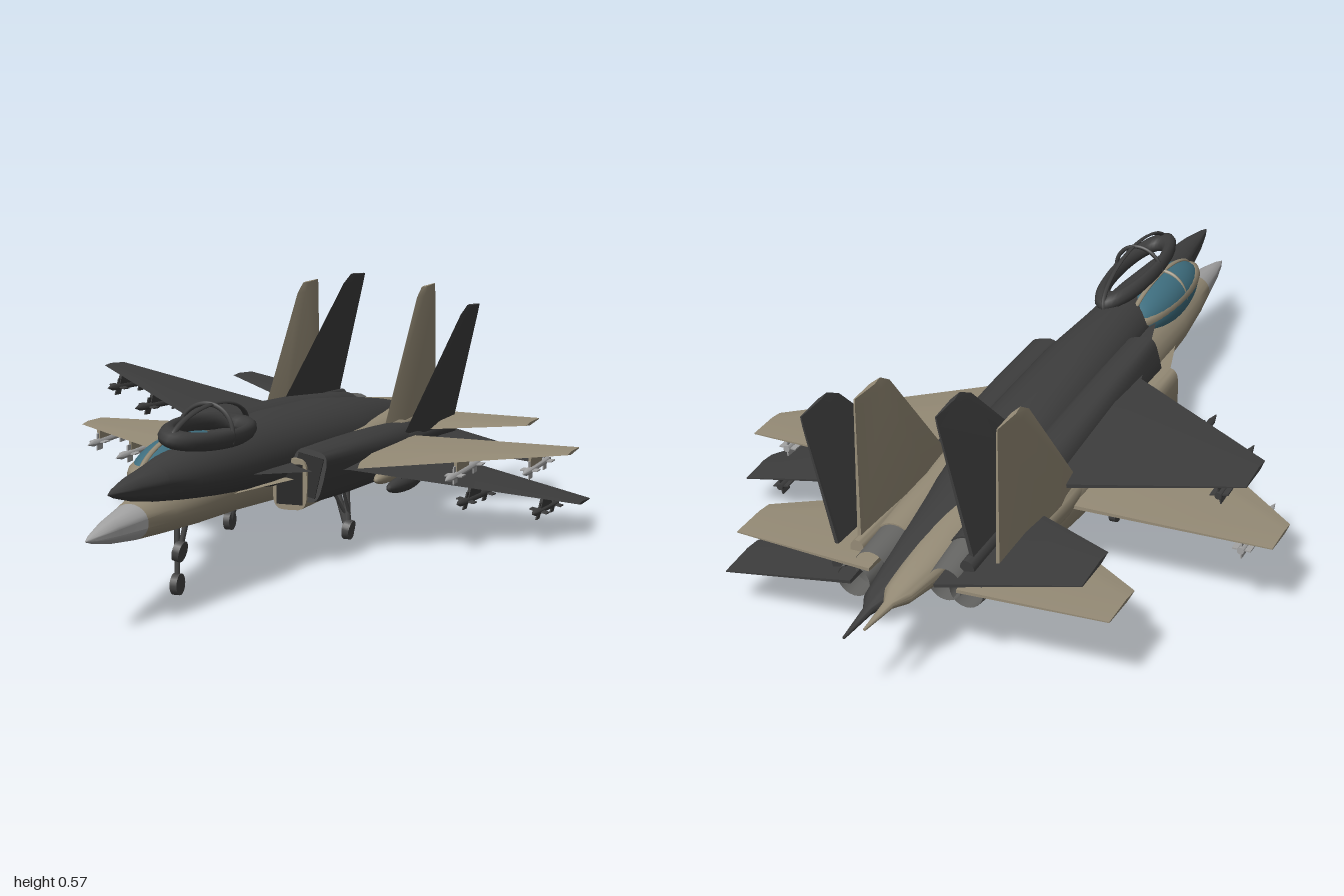
import * as THREE from 'three';
import { toCreasedNormals } from 'three/addons/utils/BufferGeometryUtils.js';

const mat = (name, color, side = THREE.FrontSide) => {
  const m = new THREE.MeshStandardMaterial({ color, side });
  m.name = name;
  return m;
};

// Skin a list of equal-length point rings and close both ends.
function loft(rings, crease = 0.6) {
  const n = rings[0].length, pos = [], idx = [];
  rings.forEach(r => r.forEach(p => pos.push(...p)));
  for (let i = 0; i < rings.length - 1; i++) {
    for (let j = 0; j < n; j++) {
      const a = i * n + j, d = i * n + (j + 1) % n;
      idx.push(a, a + n, d, d, a + n, d + n);
    }
  }
  const last = (rings.length - 1) * n;
  for (let j = 1; j < n - 1; j++) {
    idx.push(0, j, j + 1, last, last + j + 1, last + j);
  }
  const g = new THREE.BufferGeometry();
  g.setAttribute('position', new THREE.Float32BufferAttribute(pos, 3));
  g.setIndex(idx);
  return toCreasedNormals(g, crease);
}

// Body from stations [z, centreX, centreY, halfWidth, up, down, squareness], nose first.
function body(stations) {
  return loft(stations.map(([z, cx, cy, w, up, dn, sq = 1]) =>
    Array.from({ length: 24 }, (_, j) => {
      const a = j / 24 * Math.PI * 2, c = Math.cos(a), s = Math.sin(a);
      const x = Math.sign(c) * Math.abs(c) ** sq, y = Math.sign(s) * Math.abs(s) ** sq;
      return [cx + w * x, cy + (y > 0 ? up : dn) * y, z];
    })));
}

// Thin aerofoil surface from sections [x, leadingZ, trailingZ, halfThickness].
const panel = sections => loft(sections.map(([x, le, te, t]) => {
  const m = le + (te - le) * 0.3;
  return [[x, 0, le], [x, t, m], [x, t * 0.3, te], [x, -t * 0.3, te], [x, -t, m]];
}), 0.3);

// Mirror a geometry across x = 0, keeping its faces outward.
function mirrored(geo) {
  const g = geo.index ? geo.toNonIndexed() : geo.clone();
  g.scale(-1, 1, 1);
  for (const key of ['position', 'normal']) {
    const a = g.attributes[key].array;
    for (let i = 0; i < a.length; i += 9) {
      for (let k = 3; k < 6; k++) [a[i + k], a[i + k + 3]] = [a[i + k + 3], a[i + k]];
    }
  }
  return g;
}

// Round bar between two points.
function bar(a, b, r) {
  const p = new THREE.Vector3(...a), q = new THREE.Vector3(...b);
  const d = q.clone().sub(p);
  const g = new THREE.CylinderGeometry(r, r, d.length(), 10);
  g.applyQuaternion(new THREE.Quaternion().setFromUnitVectors(new THREE.Vector3(0, 1, 0), d.normalize()));
  return g.translate(...p.add(q).multiplyScalar(0.5).toArray());
}

function buildJet(name, c) {
  const jet = new THREE.Group();
  jet.name = name;
  const add = (part, geo, material) => {
    const m = new THREE.Mesh(geo, material);
    m.name = part;
    jet.add(m);
  };
  const pair = (part, geo, material) => {
    add(part + 'Left', geo, material);
    add(part + 'Right', mirrored(geo), material);
  };

  // Fuselage, nose cone and tail boom
  add('noseCone', body([
    [1, 0, 0, 0.001, 0.001, 0.001], [0.97, 0, 0, 0.011, 0.01, 0.01],
    [0.9, 0, 0, 0.026, 0.024, 0.024], [0.8, 0, 0, 0.041, 0.037, 0.037]]), c.nose);
  add('fuselage', body([
    [0.8, 0, 0, 0.041, 0.037, 0.037], [0.7, 0, 0, 0.058, 0.052, 0.045],
    [0.55, 0, 0, 0.076, 0.066, 0.055], [0.35, 0, 0, 0.086, 0.078, 0.066],
    [0.15, 0, 0, 0.1, 0.086, 0.08, 0.9], [-0.2, 0, 0, 0.11, 0.084, 0.085, 0.9],
    [-0.45, 0, 0, 0.09, 0.07, 0.07], [-0.65, 0, 0, 0.06, 0.05, 0.05],
    [-0.85, 0, 0, 0.032, 0.022, 0.022], [-0.89, 0, 0, 0.012, 0.01, 0.01],
    [-0.99, 0, 0, 0.003, 0.003, 0.003]]), c.skin);

  // Engine nacelles, intakes and nozzles
  pair('nacelle', body([
    [0.25, 0.13, -0.012, 0.04, 0.058, 0.058, 0.5], [0.05, 0.13, -0.012, 0.046, 0.062, 0.062, 0.6],
    [-0.3, 0.125, -0.012, 0.055, 0.062, 0.065, 0.8], [-0.55, 0.115, -0.012, 0.056, 0.056, 0.058],
    [-0.66, 0.11, -0.012, 0.05, 0.05, 0.05]]), c.skin);
  pair('intakeMouth', new THREE.BoxGeometry(0.06, 0.09, 0.006).translate(0.13, -0.012, 0.25), c.dark);
  pair('nozzle', new THREE.CylinderGeometry(0.048, 0.038, 0.12, 24, 1, true)
    .rotateX(Math.PI / 2).translate(0.11, -0.012, -0.705), c.metal);
  pair('nozzleCore', new THREE.CircleGeometry(0.044, 24).rotateY(Math.PI).translate(0.11, -0.012, -0.69), c.dark);

  // Wings with root extensions, tailplanes and fins
  pair('wing', panel([[0.04, 0.52, -0.385, 0.012], [0.08, 0.46, -0.385, 0.012],
    [0.18, 0.12, -0.382, 0.014], [0.628, -0.26, -0.373, 0.004]]), c.skin);
  pair('tailplane', panel([[0.1, -0.43, -0.79, 0.012], [0.428, -0.64, -0.77, 0.004]]), c.skin);
  pair('fin', panel([[0, -0.29, -0.72, 0.015], [0.322, -0.565, -0.715, 0.006], [0.345, -0.605, -0.713, 0.005]])
    .rotateZ(Math.PI / 2).translate(0.16, 0, 0), c.skin);
  pair('finFairing', body([[-0.2, 0.16, 0.01, 0.004, 0.01, 0.02], [-0.4, 0.16, 0.01, 0.022, 0.03, 0.03],
    [-0.74, 0.155, 0.01, 0.016, 0.02, 0.03]]), c.skin);

  // Canopy: rim, roof strip, hoop and optional glass
  add('canopyRim', new THREE.TorusGeometry(0.055, 0.012, 10, 40)
    .rotateX(Math.PI / 2).scale(1, 1.6, 3.2).translate(0, 0.083, 0.555), c.skin);
  add('canopyRoofStrip', new THREE.TorusGeometry(0.068, 0.003, 6, 40, Math.PI)
    .scale(1, 1, 2).rotateY(Math.PI / 2).scale(1, 1, 3).translate(0, 0.075, 0.55), c.skin);
  add('canopyHoop', new THREE.TorusGeometry(0.062, 0.005, 8, 32, Math.PI)
    .scale(1, 1.08, 1).translate(0, 0.075, 0.57), c.skin);
  if (c.glass) {
    add('canopyGlass', new THREE.SphereGeometry(1, 32, 20)
      .scale(0.067, 0.066, 0.205).translate(0, 0.075, 0.55), c.glass);
  }

  // Underwing stores
  [[0.41, -0.13, 0.13], [0.553, -0.25, 0.11]].forEach(([x, z, h], i) => {
    const label = i ? 'outer' : 'inner';
    pair(label + 'Missile', body([[z + h, x, -0.03, 0.001, 0.001, 0.001], [z + h - 0.03, x, -0.03, 0.008, 0.008, 0.008],
      [z - h, x, -0.03, 0.008, 0.008, 0.008]]), c.store);
    for (const dz of [-h + 0.02, h * 0.4]) {
      pair(label + 'MissileVane', new THREE.BoxGeometry(0.042, 0.003, 0.03).translate(x, -0.03, z + dz), c.store);
      pair(label + 'MissileKeel', new THREE.BoxGeometry(0.003, 0.042, 0.03).translate(x, -0.03, z + dz), c.store);
    }
    pair(label + 'Pylon', new THREE.BoxGeometry(0.007, 0.026, 0.1).translate(x, -0.013, z), c.skin);
  });
  pair('dropTank', new THREE.SphereGeometry(1, 20, 14).scale(0.019, 0.019, 0.12).translate(0.25, -0.037, -0.1), c.skin);
  pair('tankPylon', new THREE.BoxGeometry(0.008, 0.03, 0.1).translate(0.25, -0.015, -0.1), c.skin);

  // Landing gear
  const wheel = (x, z) => new THREE.CylinderGeometry(0.023, 0.023, 0.016, 20)
    .rotateZ(Math.PI / 2).translate(x, -0.177, z);
  add('noseStrut', bar([0, -0.04, 0.57], [0, -0.175, 0.57], 0.006), c.gear);
  add('noseWheel', wheel(0, 0.57), c.gear);
  pair('mainStrut', bar([0.115, -0.06, -0.08], [0.148, -0.175, -0.08], 0.008), c.gear);
  pair('mainBrace', bar([0.12, -0.06, -0.03], [0.143, -0.14, -0.08], 0.004), c.gear);
  pair('mainWheel', wheel(0.15, -0.08), c.gear);
  return jet;
}

export function createModel() {
  const tan = mat('tan paint', 0x958b76), charcoal = mat('charcoal paint', 0x3d3d3d);
  const metal = mat('nozzle metal', 0x666664, THREE.DoubleSide), dark = mat('dark opening', 0x242424);
  const pale = mat('pale grey', 0xa3a3a3), glass = mat('teal glass', 0x3f6f80);
  const gear = mat('gear grey', 0x454545);

  const root = new THREE.Group();
  root.name = 'jetPair';

  // Level tan jet
  const level = buildJet('tanJet', { skin: tan, nose: pale, store: pale, metal, dark, glass, gear });
  level.position.set(-0.017, 0.2, 0);

  // Banked charcoal jet, slightly nose-up
  const banked = buildJet('charcoalJet', { skin: charcoal, nose: charcoal, store: charcoal, metal, dark, gear });
  banked.position.set(0.025, 0.233, -0.012);
  banked.rotation.set(-0.058, 0, -0.214);

  root.add(level, banked);
  return root;
}
